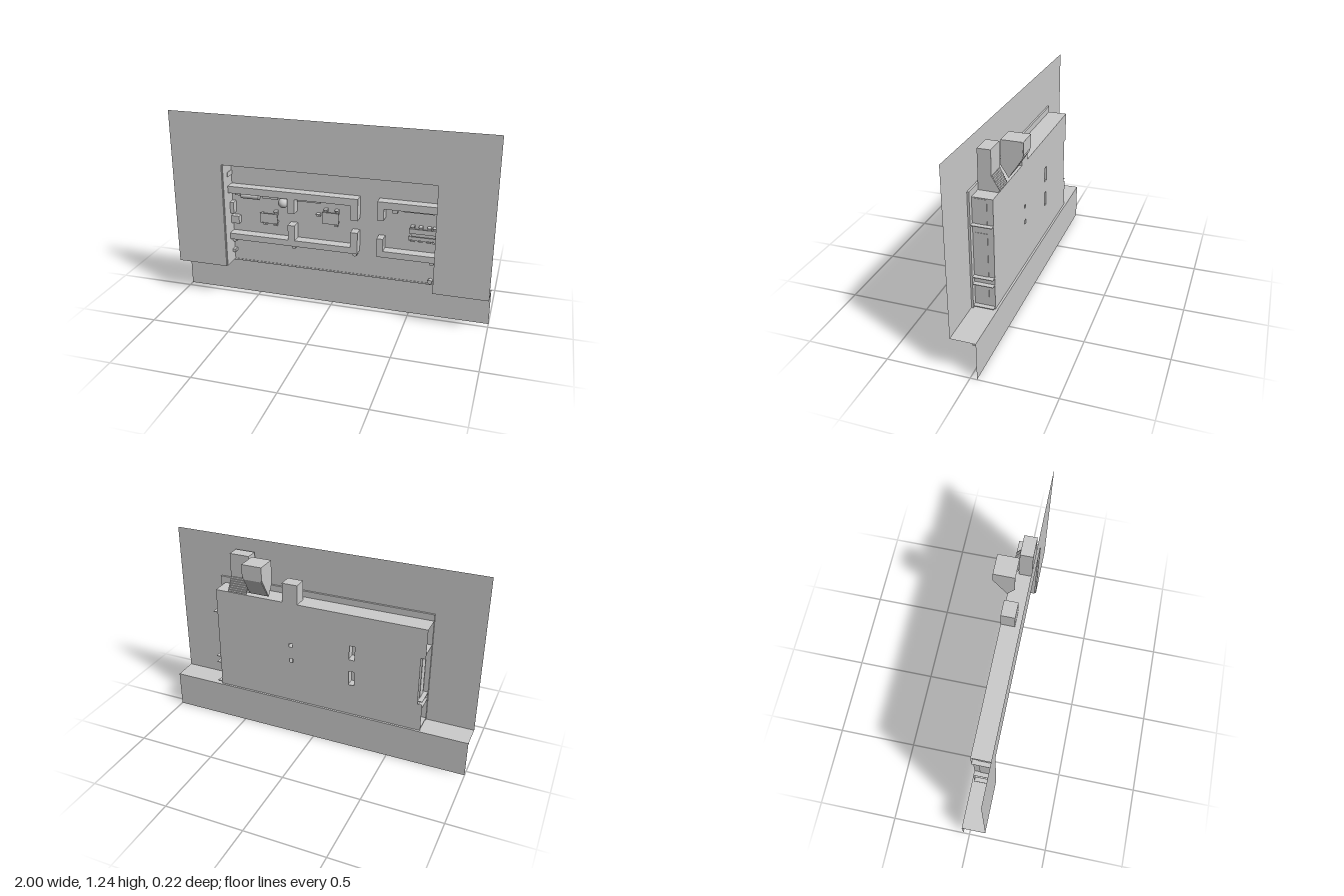
import * as THREE from 'three';

export function createModel() {
  const model = new THREE.Group();
  const grey = new THREE.MeshStandardMaterial({ color: 0xcccccc, side: THREE.DoubleSide });
  grey.name = 'plaster grey';

  const FLOOR = -0.025; // plane the rooms are built out from
  const add = (name, geo, x = 0, y = 0, z = 0) => {
    const m = new THREE.Mesh(geo, grey);
    m.name = name;
    m.position.set(x, y, z);
    model.add(m);
    return m;
  };
  // box given by its limits
  const box = (name, x0, x1, y0, y1, z0, z1) =>
    add(name, new THREE.BoxGeometry(x1 - x0, y1 - y0, z1 - z0), (x0 + x1) / 2, (y0 + y1) / 2, (z0 + z1) / 2);
  // wall rising from the base plane, open underneath
  const wall = (name, x0, x1, y0, y1, z1 = 0.04) => {
    const m = box(name, x0, x1, y0, y1, FLOOR, z1);
    m.geometry.setIndex(Array.from(m.geometry.index.array).slice(0, 30));
    m.geometry.clearGroups();
  };
  const toShape = pts => new THREE.Shape(pts.map(p => new THREE.Vector2(p[0], p[1])));
  const rect = (x0, x1, y0, y1) => [[x0, y0], [x1, y0], [x1, y1], [x0, y1]];
  const sheet = (name, pts, holes, z) => {
    const s = toShape(pts);
    holes.forEach(h => s.holes.push(toShape(rect(...h))));
    return add(name, new THREE.ShapeGeometry(s), 0, 0, z);
  };
  // (z, y) profile extruded between two x positions
  const prism = (name, pts, x0, x1) => {
    const g = new THREE.ExtrudeGeometry(toShape(pts), { depth: x1 - x0, bevelEnabled: false });
    g.rotateY(-Math.PI / 2);
    return add(name, g, x1);
  };
  const level = (name, x0, x1, z0, z1, y) => {
    const g = new THREE.PlaneGeometry(x1 - x0, z1 - z0).rotateX(-Math.PI / 2);
    return add(name, g, (x0 + x1) / 2, y, (z0 + z1) / 2);
  };

  // front panel with its opening, lower apron and side ledges
  sheet('frontPanel', [[-1, 0.235], [-0.67, 0.235], [-0.67, 0.92], [0.665, 0.92], [0.665, 0.235],
    [1, 0.235], [1, 1.24], [-1, 1.24]], [], 0.109);
  sheet('apron', rect(-1, 1, 0, 0.235), [], -0.04);
  level('leftLedge', 0.67, 1, -0.04, 0.109, 0.235);
  level('rightLedge', -1, -0.67, -0.04, 0.109, 0.235);
  box('ledgeRail', -1, 1, 0.225, 0.235, -0.038, -0.022);

  // frame behind the panel
  for (const [x0, x1] of [[-0.7, -0.67], [0.67, 0.7]]) box('frameSide', x0, x1, 0.235, 0.96, 0.096, 0.108);
  box('frameTop', -0.7, 0.7, 0.92, 0.96, 0.096, 0.108);

  // base plane with slots under the partitions
  sheet('backWall', [[-0.7, 0.235], [0.67, 0.235], [0.67, 0.92], [-0.7, 0.92], [-0.7, 0.73], [-0.665, 0.73],
    [-0.665, 0.42], [-0.7, 0.42]], [[-0.265, -0.23, 0.62, 0.715], [-0.265, -0.23, 0.445, 0.54],
    [0.145, 0.17, 0.62, 0.645], [0.145, 0.17, 0.515, 0.54]], FLOOR);
  level('ceiling', -0.7, 0.67, FLOOR, 0.1, 0.92);

  // outer walls with inset window frames and fins
  for (const s of [-1, 1]) {
    const side = (name, a, b, y0, y1, z0, z1) =>
      box(name, Math.min(s * a, s * b), Math.max(s * a, s * b), y0, y1, z0, z1);
    side('outerWall', 0.664, 0.67, 0.235, 0.92, FLOOR, 0.1);
    for (const [y0, y1] of [[0.255, 0.39], [0.44, 0.71], [0.765, 0.915]])
      side('windowPlate', 0.67, 0.673, y0, y1, 0.01, 0.08);
    for (const y of [0.25, 0.393, 0.438, 0.762])
      side('fin', 0.67, 0.7, y - 0.002, y + 0.002, FLOOR, 0.1);
  }

  // room walls
  [[-0.67, 0.18, 0.715, 0.76], [-0.67, 0.18, 0.4, 0.44], [0.3, 0.664, 0.715, 0.76], [0.3, 0.664, 0.4, 0.44],
    [0.135, 0.18, 0.62, 0.715], [0.135, 0.18, 0.44, 0.54], [-0.27, -0.225, 0.62, 0.715],
    [-0.27, -0.225, 0.44, 0.54], [0.3, 0.34, 0.64, 0.715], [0.3, 0.34, 0.44, 0.52],
  ].forEach(w => wall('roomWall', ...w));

  // stools along the corridors
  for (const [x, y] of [[-0.65, 0.905], [-0.61, 0.905], [-0.57, 0.905], [-0.165, 0.905], [0.035, 0.905],
    [-0.65, 0.38], [-0.245, 0.38], [0.155, 0.38], [0.635, 0.38], [0.63, 0.255]])
    add('stool', new THREE.CylinderGeometry(0.015, 0.015, 0.03, 6).rotateX(Math.PI / 2), x, y, -0.01);

  // benches, shelves and cupboards
  [[-0.145, 0.025, 0.89, 0.915, -0.005], [0.12, 0.2, 0.916, 0.92, 0.01], [-0.51, -0.49, 0.9, 0.92, 0],
    [-0.67, -0.64, 0.57, 0.645, 0.02], [-0.67, -0.61, 0.5, 0.55, 0.01], [-0.67, -0.645, 0.295, 0.315, 0.01],
    [-0.67, -0.66, 0.82, 0.85, 0.04], [-0.635, -0.6, 0.69, 0.715, 0], [-0.45, -0.35, 0.685, 0.71, -0.005],
    [-0.22, -0.07, 0.692, 0.712, 0.0], [0.385, 0.415, 0.68, 0.715, 0], [0.45, 0.64, 0.695, 0.715, 0],
  ].forEach(([x0, x1, y0, y1, z]) => box('cupboard', x0, x1, y0, y1, FLOOR, z));
  add('tank', new THREE.CylinderGeometry(0.02, 0.02, 0.12, 16).rotateZ(Math.PI / 2), -0.53, 0.695, 0);
  add('globe', new THREE.SphereGeometry(0.032, 20, 14), -0.307, 0.675, 0.01);

  // tables with legs and chairs
  const table = (x0, x1, y0, y1, chairs) => {
    box('tableTop', x0, x1, y0, y1, 0, 0.008);
    for (const x of [x0 + 0.008, x1 - 0.008]) for (const y of [y0 + 0.008, y1 - 0.008])
      box('tableLeg', x - 0.005, x + 0.005, y - 0.005, y + 0.005, FLOOR, 0);
    for (const [x, y] of chairs) {
      box('chairSeat', x - 0.012, x + 0.012, y - 0.01, y + 0.01, FLOOR, -0.008);
      box('chairBack', x - 0.012, x + 0.012, y + 0.007, y + 0.011, -0.008, 0.012);
    }
  };
  table(-0.465, -0.35, 0.525, 0.59, [[-0.44, 0.517], [-0.37, 0.517], [-0.365, 0.598]]);
  table(-0.055, 0.05, 0.565, 0.64, [[-0.083, 0.612], [-0.035, 0.648], [0.035, 0.648], [0.03, 0.558]]);
  const row = y => [0.51, 0.56, 0.61, 0.645].map(x => [x, y]);
  table(0.49, 0.66, 0.565, 0.595, row(0.6));
  table(0.49, 0.66, 0.52, 0.545, row(0.515));

  // small roof block
  box('roofBlock', 0.11, 0.21, 0.92, 1.045, FLOOR, 0.06);

  // stair flight: stepped on top, sloped below
  const flight = (z0, y0, z1, y1, n, x0, x1) => {
    const pts = [[z0, y0]];
    for (let i = 0; i < n; i++) {
      const y = y0 + (y1 - y0) * (i + 1) / n;
      pts.push([z0 + (z1 - z0) * i / n, y], [z0 + (z1 - z0) * (i + 1) / n, y]);
    }
    pts.push([z1, y1 - 0.016]);
    prism('stairFlight', pts, x0, x1);
  };
  flight(-0.025, 0.925, 0.018, 1.01, 7, 0.455, 0.575);
  flight(-0.025, 0.94, -0.106, 1.08, 10, 0.305, 0.425);

  // stairwell tower on the roof
  const towerSide = [[0.095, 0.92], [0.095, 1.16], [0.017, 1.16], [0.017, 1.01], [-0.025, 0.94], [-0.025, 0.92]];
  prism('towerSide', towerSide, 0.576, 0.58);
  box('towerBlock', 0.45, 0.576, 0.92, 1.16, 0.017, 0.095);

  // overhanging stair hood, open below
  const hoodSide = [[0.02, 1.16], [-0.11, 1.16], [-0.11, 1.08], [-0.025, 0.94], [0.02, 1.01]];
  prism('hoodSide', hoodSide, 0.3, 0.304);
  prism('hoodSide', hoodSide, 0.426, 0.43);
  box('hoodRoof', 0.3, 0.43, 1.156, 1.16, -0.11, 0.02);
  box('hoodBack', 0.3, 0.43, 1.08, 1.16, -0.11, -0.106);
  box('hoodWindow', 0.43, 0.433, 1.098, 1.158, -0.107, -0.087);
  return model;
}
